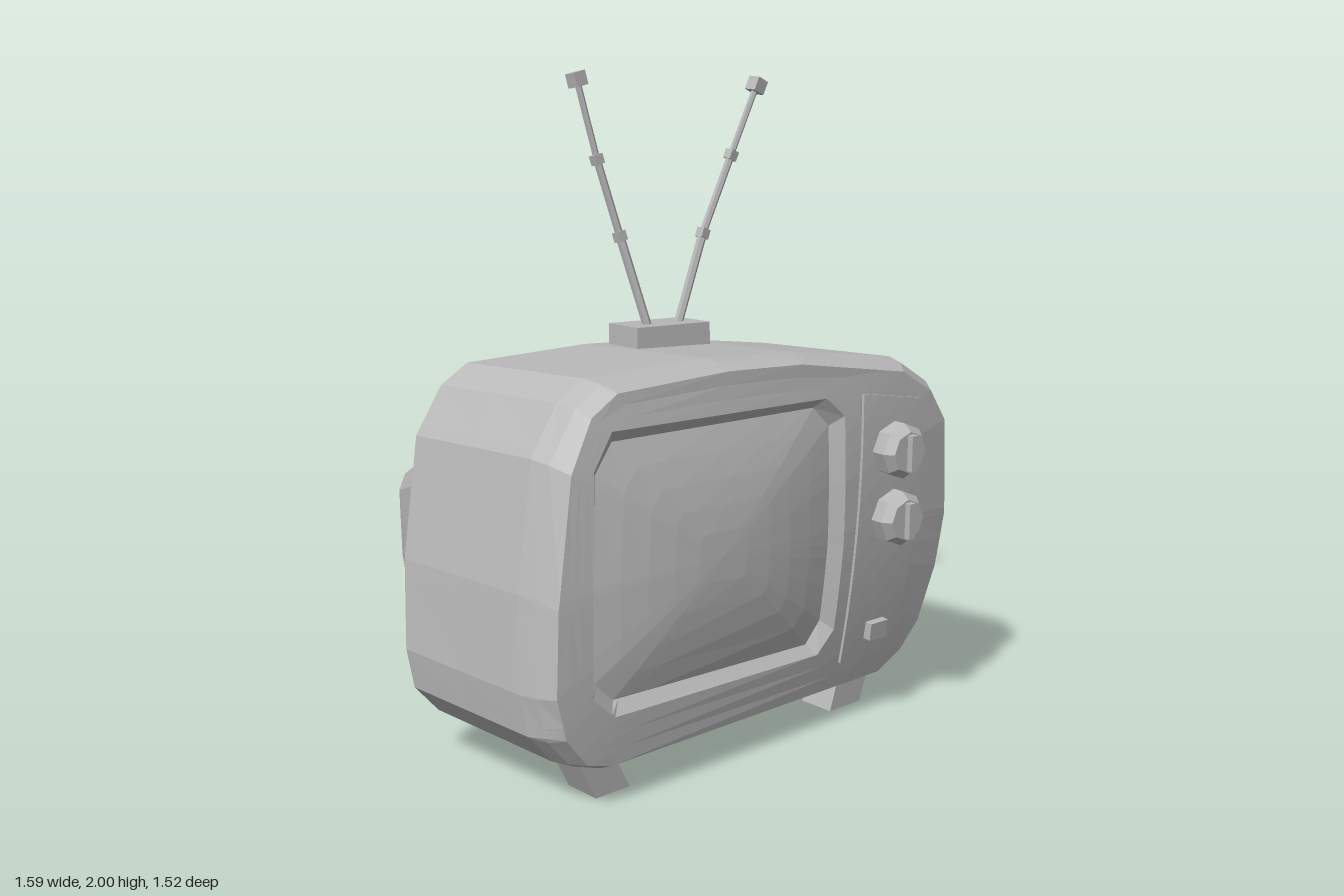
import * as THREE from 'three';

const grey = new THREE.MeshStandardMaterial({ color: 0xb8b8b8, flatShading: true, side: THREE.DoubleSide });
grey.name = 'grey plastic';

// Body twists with height: upper parts swing forward on the +x side
const twist = (x, y) => 0.17 * (y - 0.1) * x;
// Gently bulged front face
const frontZ = (x, y) =>
  0.57 + twist(x, y) + 0.035 * Math.max(0, 1 - ((y - 0.62) / 0.5) ** 2) * (1 - 0.3 * (x / 0.75) ** 2);

// Outlines, anticlockwise seen from the front
const OUTER = [[0.2, 1.19], [-0.1, 1.2], [-0.49, 1.18], [-0.58, 1.12], [-0.67, 0.98], [-0.745, 0.62], [-0.77, 0.35],
  [-0.755, 0.23], [-0.68, 0.14], [-0.57, 0.1], [0.57, 0.1], [0.68, 0.165], [0.75, 0.26], [0.78, 0.45], [0.787, 0.65],
  [0.745, 0.96], [0.68, 1.07], [0.57, 1.14]];
const RIM = [[0.15, 1.17], [-0.1, 1.175], [-0.46, 1.15], [-0.55, 1.09], [-0.63, 0.95], [-0.71, 0.6], [-0.735, 0.36],
  [-0.71, 0.24], [-0.64, 0.15], [-0.55, 0.125], [0.56, 0.125], [0.65, 0.18], [0.71, 0.27], [0.745, 0.45], [0.75, 0.63],
  [0.705, 0.94], [0.64, 1.04], [0.53, 1.11]];
const OPENING = [[0.24, 1.06], [-0.49, 1.05], [-0.56, 0.95], [-0.6, 0.6], [-0.615, 0.33], [-0.54, 0.265], [0.25, 0.26],
  [0.31, 0.33], [0.315, 0.6], [0.305, 1.0]];
const GLASS = [[0.22, 1.03], [-0.47, 1.015], [-0.535, 0.93], [-0.575, 0.6], [-0.585, 0.36], [-0.52, 0.3], [0.23, 0.29],
  [0.28, 0.36], [0.285, 0.6], [0.275, 0.97]];
const COVER = [[0.52, 1.02], [-0.5, 1.04], [-0.6, 0.98], [-0.66, 0.85], [-0.7, 0.5], [-0.68, 0.25], [-0.57, 0.135],
  [0.57, 0.135], [0.67, 0.25], [0.69, 0.5], [0.66, 0.85], [0.61, 0.96]];
const COVER_END = [[0.37, 0.72], [-0.36, 0.725], [-0.42, 0.71], [-0.445, 0.66], [-0.45, 0.45], [-0.43, 0.27], [-0.38, 0.2],
  [0.38, 0.2], [0.42, 0.27], [0.44, 0.45], [0.435, 0.65], [0.42, 0.69]];

const C = [-0.1, 0.65]; // common centre for the front loops
const angles = [...OUTER, ...RIM, ...OPENING, ...GLASS]
  .map(([x, y]) => Math.atan2(y - C[1], x - C[0])).sort((a, b) => a - b)
  .filter((a, i, all) => i === 0 || a - all[i - 1] > 0.004);

// Where rays from the centre cross an outline
function sample(poly) {
  return angles.map((a) => {
    const dx = Math.cos(a), dy = Math.sin(a);
    let best = 0;
    poly.forEach(([px, py], i) => {
      const [qx, qy] = poly[(i + 1) % poly.length];
      const ex = qx - px, ey = qy - py, det = dx * ey - dy * ex;
      if (Math.abs(det) < 1e-9) return;
      const t = ((px - C[0]) * ey - (py - C[1]) * ex) / det;
      const u = ((px - C[0]) * dy - (py - C[1]) * dx) / det;
      if (u > -1e-6 && u < 1 + 1e-6) best = Math.max(best, t);
    });
    return [C[0] + dx * best, C[1] + dy * best];
  });
}
const mix = (A, B, t) => A.map((p, i) => p.map((v, k) => v + (B[i][k] - v) * t));
const scaled = (A, c, s) => A.map(([x, y]) => [c[0] + (x - c[0]) * s, c[1] + (y - c[1]) * s]);
const atDepth = (A, z) => A.map(([x, y]) => [x, y, z + twist(x, y)]);
const onFront = (A, dz) => A.map(([x, y]) => [x, y, frontZ(x, y) + dz]);

// Skin a series of closed loops
function loft(loops) {
  const n = loops[0].length, index = [];
  for (let i = 0; i < loops.length - 1; i++) {
    for (let j = 0; j < n; j++) {
      const a = i * n + j, b = i * n + (j + 1) % n;
      index.push(a, b, b + n, a, b + n, a + n);
    }
  }
  const g = new THREE.BufferGeometry();
  g.setAttribute('position', new THREE.Float32BufferAttribute(loops.flat(2), 3));
  g.setIndex(index);
  g.computeVertexNormals();
  return g;
}

// Move every vertex of a geometry by a rule
function reshape(g, rule) {
  const p = g.attributes.position;
  for (let i = 0; i < p.count; i++) p.setXYZ(i, ...rule(p.getX(i), p.getY(i), p.getZ(i)));
  g.computeVertexNormals();
  return g;
}

export function createModel() {
  const model = new THREE.Group();
  model.name = 'television';
  const add = (name, geometry, x = 0, y = 0, z = 0, parent = model) => {
    const m = new THREE.Mesh(geometry, grey);
    m.name = name;
    m.position.set(x, y, z);
    parent.add(m);
    return m;
  };
  const rod = (name, a, b, r, sides) => {
    const from = new THREE.Vector3(...a), to = new THREE.Vector3(...b), dir = to.clone().sub(from);
    const m = add(name, new THREE.CylinderGeometry(r, r, dir.length(), sides));
    m.position.copy(from).add(to).multiplyScalar(0.5);
    m.quaternion.setFromUnitVectors(new THREE.Vector3(0, 1, 0), dir.normalize());
    return m;
  };

  // Casing: inner lip, open back edge, sides, bevel
  const outer = sample(OUTER), rim = sample(RIM), opening = sample(OPENING), glass = sample(GLASS);
  const back = outer.map(([x, y]) => [x - 0.03, 0.11 + (y - 0.1) * 0.97]);
  const lip = scaled(back, [-0.03, 0.6], 0.955);
  add('casing', loft([
    atDepth(lip, 0.3), atDepth(lip, -0.015), atDepth(back, -0.025),
    atDepth(mix(back, outer, 0.5), 0.22), atDepth(outer, 0.47), atDepth(mix(outer, rim, 0.35), 0.53), onFront(rim, 0),
  ]));

  // Front face and bevel around the glass
  add('frontFace', loft([...[0, 0.33, 0.67, 1].map((t) => onFront(mix(rim, opening, t), 0)), onFront(glass, -0.035)]));

  // Domed screen
  add('screen', loft([1, 0.8, 0.6, 0.4, 0.2, 0].map((t) => onFront(scaled(glass, [-0.15, 0.65], t), -0.035 * t * t))));

  // Tapered rear cover, closed at the end
  const cap = scaled(COVER_END, [0, 0.46], 0);
  add('rearCover', loft([
    atDepth(cap, -0.565), atDepth(COVER_END, -0.565),
    ...[0.25, 0.5, 0.75, 1].map((t) => atDepth(mix(COVER_END, COVER, t), -0.565 + 0.595 * t)),
  ]));

  // Control panel plate following the front
  add('controlPanel', reshape(new THREE.BoxGeometry(1, 1, 1, 3, 10, 1), (u, v, w) => {
    const t = v + 0.5, bow = 0.02 * (1 - 4 * v * v);
    const left = 0.352 + 0.018 * t, right = 0.595 - 0.005 * t + bow;
    const x = left + (right - left) * (u + 0.5);
    const y = 0.21 + (0.85 - 0.035 * (u + 0.5)) * t;
    return [x, y, frontZ(x, y) + 0.005 + w * 0.009];
  }));

  // Eight-sided knobs with grip bars
  const knobProfile = [[0.085, -0.02], [0.085, 0.048], [0.064, 0.075], [0, 0.075]].map((p) => new THREE.Vector2(...p));
  for (const [name, x, y] of [['upperKnob', 0.49, 0.88], ['lowerKnob', 0.5, 0.667]]) {
    const knob = new THREE.Group();
    knob.name = name;
    knob.position.set(x, y, frontZ(x, y) + 0.005);
    knob.rotation.y = -0.1;
    model.add(knob);
    add('knobBody', new THREE.LatheGeometry(knobProfile, 8), 0, 0, 0, knob).rotation.x = Math.PI / 2;
    add('knobGrip', new THREE.BoxGeometry(0.024, 0.11, 0.03), 0, 0, 0.08, knob);
  }
  const button = add('button', new THREE.BoxGeometry(0.075, 0.055, 0.04), 0.48, 0.3, frontZ(0.48, 0.3) + 0.015);
  button.rotation.set(0.1, -0.03, 0);

  // Slanted feet: [top x, bottom x, width, z, top y]
  const feet = [['frontFootRight', -0.56, -0.49, 0.125, 0.44, 0.14], ['frontFootLeft', 0.535, 0.49, 0.14, 0.44, 0.14],
    ['rearFootRight', -0.42, -0.26, 0.12, -0.41, 0.21], ['rearFootLeft', 0.275, 0.275, 0.16, -0.41, 0.21]];
  for (const [name, topX, bottomX, w, z, h] of feet) {
    add(name, reshape(new THREE.BoxGeometry(w, 1, 0.12), (x, y, dz) =>
      [x + (y > 0 ? topX : bottomX), y > 0 ? h : 0.005, z + dz]));
  }

  // Antenna base and two jointed rods
  add('antennaBase', new THREE.BoxGeometry(0.26, 0.1, 0.165), 0.047, 1.193, 0.1).rotation.set(-0.05, -0.17, -0.02);
  const antennas = {
    antennaRight: [[0, 1.22, 0.105], [-0.065, 1.51, 0.045], [-0.125, 1.74, 0.01], [-0.175, 1.975, -0.022]],
    antennaLeft: [[0.105, 1.22, 0.115], [0.215, 1.505, 0.112], [0.32, 1.74, 0.125], [0.415, 1.95, 0.137]],
  };
  for (const [name, pts] of Object.entries(antennas)) {
    for (let i = 0; i < 3; i++) {
      const r = rod(name, pts[i], pts[i + 1], 0.014 - i * 0.002, 6);
      const size = i === 2 ? 0.043 : 0.03;
      add(i === 2 ? 'antennaTip' : 'antennaJoint', new THREE.BoxGeometry(size, size, size), ...pts[i + 1])
        .quaternion.copy(r.quaternion);
    }
  }

  // Power cord trailing on the floor
  const cord = [[0.03, 0.2, -0.55], [0.04, 0.09, -0.64], [0.17, 0.04, -0.727], [0.3, 0.035, -0.742],
    [0.365, 0.035, -0.65], [0.28, 0.035, -0.59]];
  for (let i = 0; i < cord.length - 1; i++) rod('powerCord', cord[i], cord[i + 1], 0.016, 6);

  return model;
}
